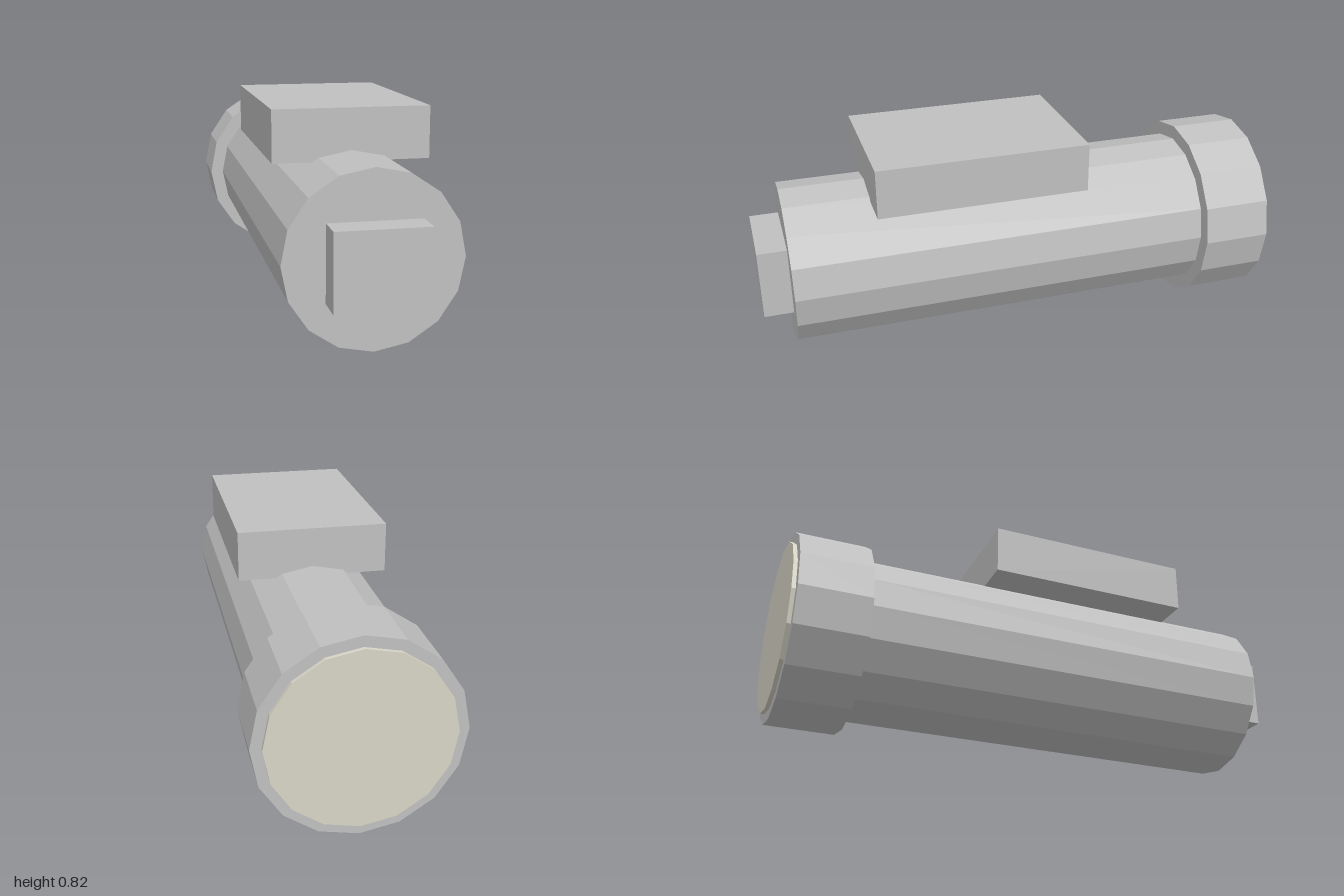
import * as THREE from 'three';

export function createModel() {
  const group = new THREE.Group();
  const material = (name, color) => {
    const m = new THREE.MeshStandardMaterial({ color, flatShading: true });
    m.name = name;
    return m;
  };
  const casing = material('casing grey', 0xc0c0c0);
  const glass = material('lens cream', 0xd8d5c6);
  const axisY = 0.363;

  const add = (name, geometry, mat, x, y, z) => {
    const mesh = new THREE.Mesh(geometry, mat);
    mesh.name = name;
    mesh.position.set(x, y, z);
    group.add(mesh);
  };

  // Sixteen-sided drum along z, with a vertex straight up
  const drum = (name, radius, z0, z1, mat) => {
    const geometry = new THREE.CylinderGeometry(radius, radius, z1 - z0, 16);
    geometry.rotateX(Math.PI / 2);
    add(name, geometry, mat, 0, axisY, (z0 + z1) / 2);
  };

  // Box given by half width and its y and z ranges
  const block = (name, halfX, y0, y1, z0, z1) =>
    add(name, new THREE.BoxGeometry(halfX * 2, y1 - y0, z1 - z0), casing,
      0, (y0 + y1) / 2, (z0 + z1) / 2);

  // Barrel, wider head and protruding lens at the back
  drum('barrel', 0.307, -0.73, 0.89, casing);
  drum('head', 0.361, -0.985, -0.72, casing);
  drum('lens', 0.322, -1, -0.98, glass);

  // Block on top and end button at the front
  block('topBlock', 0.28, 0.632, 0.818, -0.232, 0.57);
  block('endButton', 0.161, 0.23, 0.496, 0.88, 1);

  return group;
}
